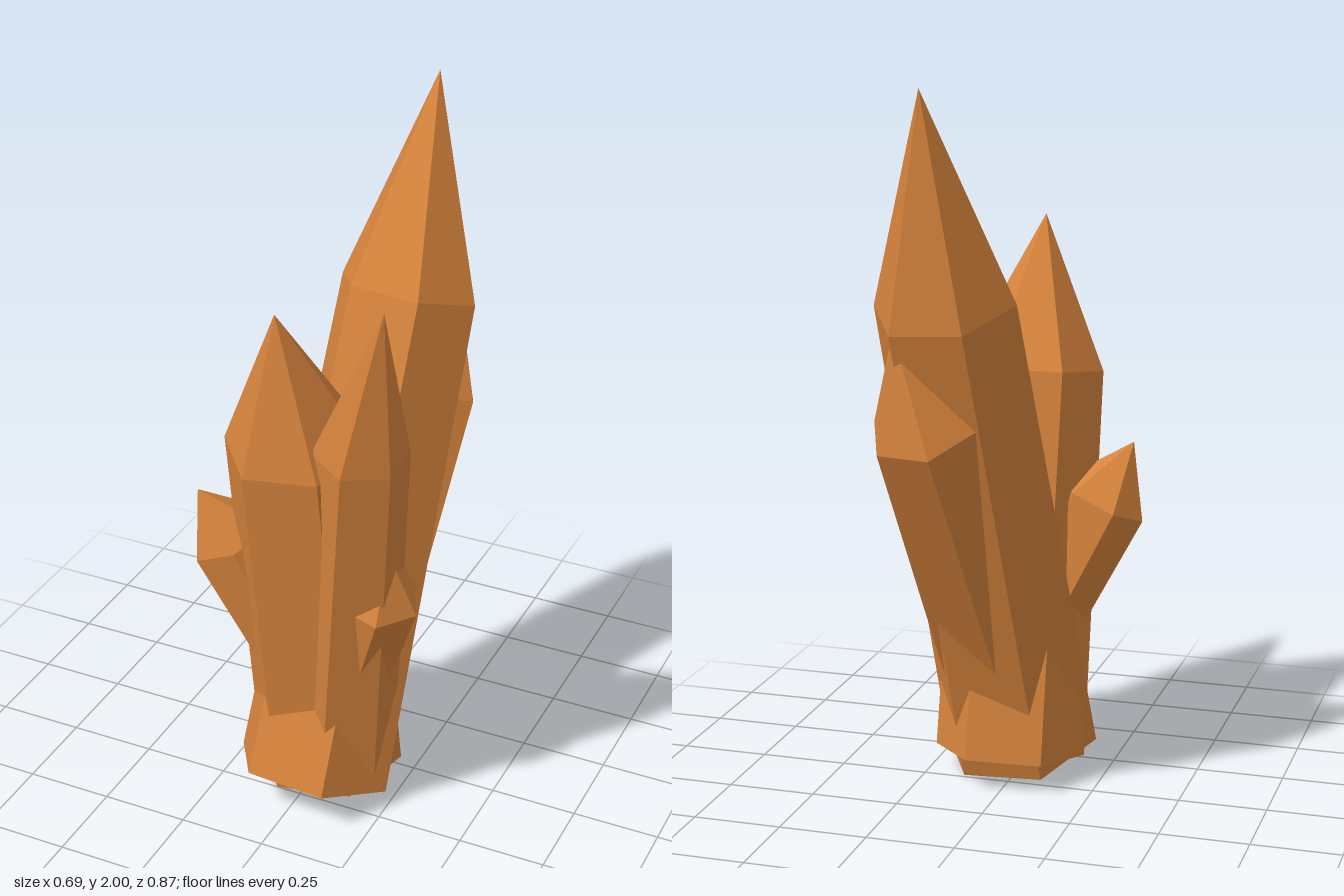
import * as THREE from 'three';

// Pointed prism: a base ring and a shoulder ring square to the axis, then an off-centre tip
function crystalGeometry({ base, baseR, shoulder, r, tip, phase, sides = 6 }) {
  const b = new THREE.Vector3(...base);
  const s = new THREE.Vector3(...shoulder);
  const t = new THREE.Vector3(...tip);
  const axis = s.clone().sub(b).normalize();
  const u = new THREE.Vector3(1, 0, 0).addScaledVector(axis, -axis.x).normalize();
  const v = u.clone().cross(axis);
  const ring = (centre, radius) => Array.from({ length: sides }, (_, i) => {
    const a = THREE.MathUtils.degToRad(phase) + (i / sides) * Math.PI * 2;
    return centre.clone()
      .addScaledVector(u, radius * Math.cos(a))
      .addScaledVector(v, radius * Math.sin(a));
  });
  const low = ring(b, baseR);
  const high = ring(s, r);
  const points = [];
  for (let i = 0; i < sides; i++) {
    const j = (i + 1) % sides;
    points.push(low[i], high[i], low[j]);
    points.push(low[j], high[i], high[j]);
    points.push(high[i], t, high[j]);
    points.push(b, low[i], low[j]);
  }
  const geometry = new THREE.BufferGeometry().setFromPoints(points);
  geometry.computeVertexNormals();
  return geometry;
}

const crystals = [
  { name: 'tallBackCrystal', base: [0.02, 0.07, 0.2], baseR: 0.23,
    shoulder: [0.098, 1.42, -0.255], r: 0.2, tip: [0.11, 2, -0.42], phase: 0 },
  { name: 'frontCrystal', base: [0.02, 0.065, 0.09], baseR: 0.215,
    shoulder: [0, 1.165, 0.245], r: 0.203, tip: [-0.01, 1.59, 0.35], phase: 50 },
  { name: 'leftCrystal', base: [0.09, 0.08, 0.15], baseR: 0.15,
    shoulder: [0.212, 1.22, 0.305], r: 0.13, tip: [0.32, 1.69, 0.41], phase: 30 },
  { name: 'lowBackCrystal', base: [0.03, 0.11, 0.21], baseR: 0.18,
    shoulder: [0.14, 1.1, -0.305], r: 0.155, tip: [0.2, 1.37, -0.38], phase: 10 },
  { name: 'smallRightCrystal', base: [0.06, 0.2, 0.13], baseR: 0.1,
    shoulder: [-0.22, 0.8, 0.205], r: 0.13, tip: [-0.295, 0.96, 0.265], phase: 0 },
  { name: 'smallLeftCrystal', base: [0.06, 0.2, 0.15], baseR: 0.1,
    shoulder: [0.225, 0.75, 0.235], r: 0.13, tip: [0.27, 0.89, 0.25], phase: 5 },
];

export function createModel() {
  const group = new THREE.Group();
  group.name = 'crystalCluster';
  const amber = new THREE.MeshStandardMaterial({ color: 0xd5833c, flatShading: true });
  amber.name = 'amber';
  for (const spec of crystals) {
    const mesh = new THREE.Mesh(crystalGeometry(spec), amber);
    mesh.name = spec.name;
    group.add(mesh);
  }
  return group;
}
